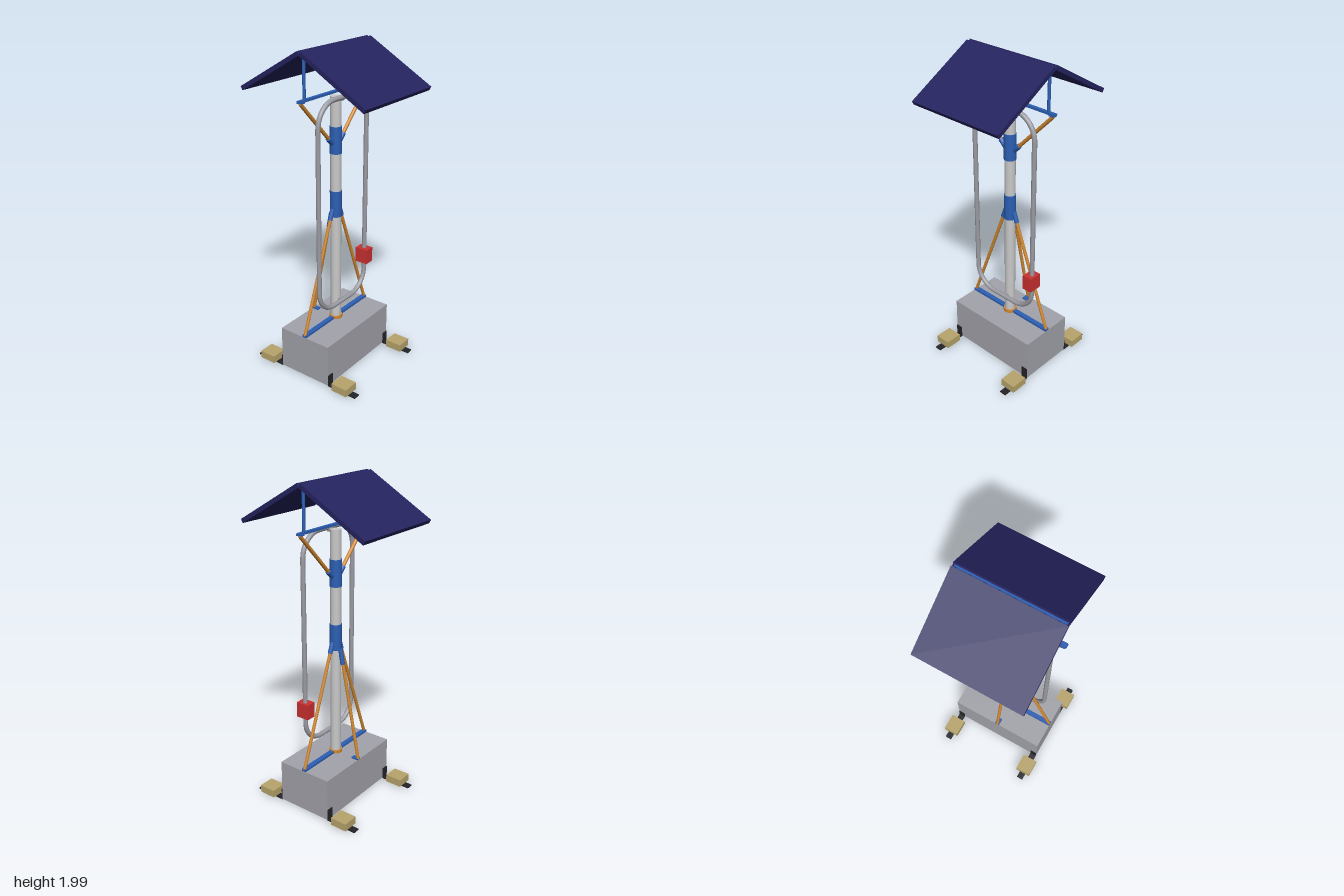
import * as THREE from 'three';

const mat = (name, color) => {
  const m = new THREE.MeshStandardMaterial({ color });
  m.name = name;
  return m;
};

export function createModel() {
  const root = new THREE.Group();
  root.name = 'solarStation';

  const concrete = mat('concrete grey', 0xa3a3ab);
  const steel = mat('pale steel', 0xc9c9c9);
  const tubeGrey = mat('tube grey', 0x9b9ba3);
  const blue = mat('bracket blue', 0x2c5fb4);
  const orange = mat('strut orange', 0xcf8630);
  const navy = mat('panel navy', 0x25235f);
  const red = mat('box red', 0xcc3030);
  const wood = mat('timber', 0xb8a56c);
  const black = mat('black iron', 0x242428);

  const add = (name, geometry, material, x = 0, y = 0, z = 0, parent = root) => {
    const m = new THREE.Mesh(geometry, material);
    m.name = name;
    m.position.set(x, y, z);
    parent.add(m);
    return m;
  };
  const box = (name, material, w, h, d, x, y, z) =>
    add(name, new THREE.BoxGeometry(w, h, d), material, x, y, z);
  const upright = (name, material, r, y0, y1, x = 0, z = 0) =>
    add(name, new THREE.CylinderGeometry(r, r, y1 - y0, 32), material, x, (y0 + y1) / 2, z);

  // Round bar between two points
  const UP = new THREE.Vector3(0, 1, 0);
  const bar = (name, material, r, from, to) => {
    const a = new THREE.Vector3(...from), b = new THREE.Vector3(...to);
    const dir = b.clone().sub(a);
    const m = add(name, new THREE.CylinderGeometry(r, r, dir.length(), 16), material);
    m.position.copy(a).add(b).multiplyScalar(0.5);
    m.quaternion.setFromUnitVectors(UP, dir.normalize());
    return m;
  };

  // Ballast block, mast and its collars
  box('ballastBlock', concrete, 0.63, 0.27, 0.36, 0, 0.14, 0);
  upright('mast', steel, 0.033, 0.275, 1.7);
  upright('mastFoot', orange, 0.041, 0.275, 0.295);
  upright('lowerSleeve', blue, 0.036, 0.972, 1.135);
  upright('upperSleeve', blue, 0.036, 1.365, 1.527);

  // Bars lying on the block
  box('baseBar', blue, 0.63, 0.014, 0.03, 0, 0.283, 0);
  box('rearFootPlate', blue, 0.03, 0.008, 0.045, 0, 0.279, -0.157);

  // Rear brace
  bar('rearBrace', orange, 0.01, [0, 0.28, -0.175], [0, 0.95, -0.042]);
  bar('rearBraceSocket', blue, 0.014, [0, 0.885, -0.053], [0, 0.98, -0.035]);

  for (const s of [-1, 1]) {
    // Side braces, lower and upper, with sockets at the sleeves
    bar('lowerBrace', orange, 0.01, [s * 0.307, 0.283, 0], [s * 0.04, 1.0, 0]);
    bar('lowerBraceSocket', blue, 0.014, [s * 0.056, 0.96, 0], [s * 0.032, 1.025, 0]);
    bar('upperBrace', orange, 0.011, [s * 0.31, 1.717, 0], [s * 0.05, 1.447, 0]);
    bar('upperBraceSocket', blue, 0.016, [s * 0.071, 1.468, 0], [s * 0.034, 1.432, 0]);

    // Roof posts and rail end plates
    upright('roofPost', blue, 0.009, 1.725, 1.975, s * 0.275);
    box('railEndPlate', blue, 0.03, 0.01, 0.033, s * 0.304, 1.722, 0);

    // Sloping roof panel, its local x running down the slope
    const slope = new THREE.Group();
    slope.name = s > 0 ? 'frontRoof' : 'backRoof';
    slope.position.set(0, 1.998, 0);
    slope.rotation.x = s * Math.PI / 6;
    root.add(slope);
    add('roofPanel', new THREE.BoxGeometry(0.63, 0.025, 0.478), navy, 0, -0.0125, s * 0.252, slope);

    // Corner feet: timber pad on an iron angle
    for (const t of [-1, 1]) {
      box('timberPad', wood, 0.1, 0.048, 0.108, s * 0.294, 0.034, t * 0.283);
      box('ironFoot', black, 0.042, 0.008, 0.2, s * 0.294, 0.004, t * 0.28);
      box('ironTab', black, 0.042, 0.075, 0.006, s * 0.294, 0.0375, t * 0.183);
    }
  }

  // Roof rails
  box('lowerRail', blue, 0.65, 0.014, 0.02, 0, 1.727, 0);
  box('ridgeRail', blue, 0.61, 0.016, 0.018, 0, 1.975, 0);

  // Rounded tube loop in front of the mast
  const hw = 0.228, y0 = 0.412, y1 = 1.702, r = 0.14, z = 0.052;
  const corners = [[hw - r, y1 - r, 0], [r - hw, y1 - r, 1], [r - hw, y0 + r, 2], [hw - r, y0 + r, 3]];
  const path = new THREE.CurvePath();
  const rounded = [];
  for (const [cx, cy, q] of corners) {
    for (let i = 0; i <= 10; i++) {
      const a = (q + i / 10) * Math.PI / 2;
      rounded.push(new THREE.Vector3(cx + r * Math.cos(a), cy + r * Math.sin(a), z));
    }
  }
  rounded.forEach((p, i) => path.add(new THREE.LineCurve3(p, rounded[(i + 1) % rounded.length])));
  add('tubeLoop', new THREE.TubeGeometry(path, 260, 0.0145, 14, true), tubeGrey);
  box('loopClipTop', tubeGrey, 0.03, 0.02, 0.03, 0, 1.69, 0.035);
  box('loopClipBottom', tubeGrey, 0.03, 0.02, 0.03, 0, 0.412, 0.035);

  // Control box on the loop's left side
  box('controlBox', red, 0.064, 0.095, 0.084, 0.224, 0.642, 0.053);

  return root;
}
